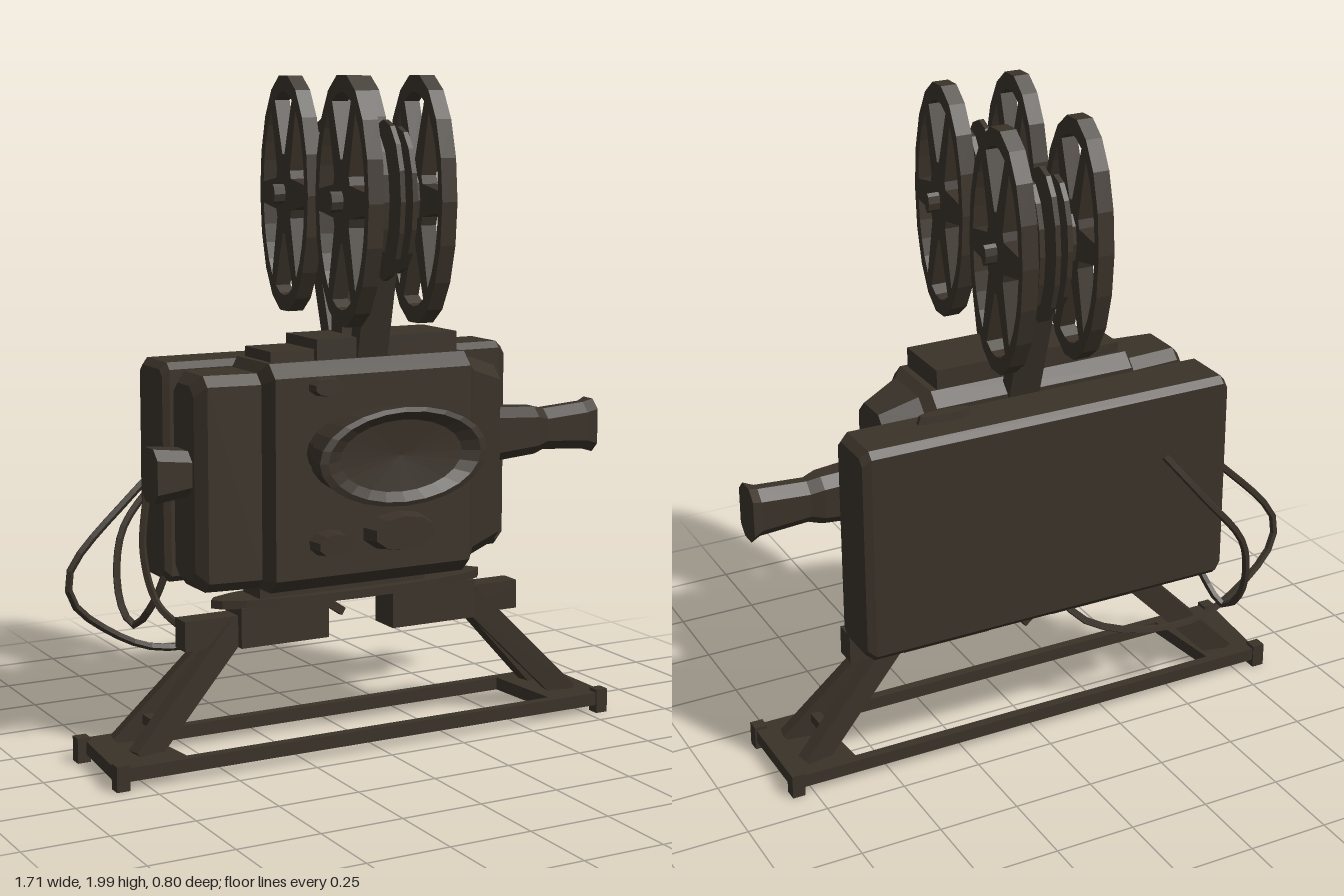
import * as THREE from 'three';

const bronze = new THREE.MeshStandardMaterial({ color: 0x3a3229, flatShading: true });
bronze.name = 'dark bronze';

const V = (p) => new THREE.Vector3(...p);

function add(parent, name, geo, pos = [0, 0, 0], rot = [0, 0, 0], scale = [1, 1, 1]) {
  const m = new THREE.Mesh(geo, bronze);
  m.name = name;
  m.position.set(...pos);
  m.rotation.set(...rot);
  m.scale.set(...scale);
  parent.add(m);
  return m;
}

// Box given by its extents
function block(parent, name, [x0, x1], [y0, y1], [z0, z1]) {
  return add(parent, name, new THREE.BoxGeometry(x1 - x0, y1 - y0, z1 - z0),
    [(x0 + x1) / 2, (y0 + y1) / 2, (z0 + z1) / 2]);
}

// Square bar between two points
function beam(parent, name, a, b, w, h = w) {
  const A = V(a), B = V(b);
  const m = add(parent, name, new THREE.BoxGeometry(w, h, A.distanceTo(B)),
    A.clone().add(B).multiplyScalar(0.5).toArray());
  m.lookAt(B);
  return m;
}

// Chamfered rectangles [x, y0, y1, z0, z1, chamfer] joined along x
function loft(sections) {
  const rings = sections.map(([x, y0, y1, z0, z1, c]) => [
    [y1, z0 + c], [y1, z1 - c], [y1 - c, z1], [y0 + c, z1],
    [y0, z1 - c], [y0, z0 + c], [y0 + c, z0], [y1 - c, z0],
  ].map(([y, z]) => [x, y, z]));
  const pos = [];
  const tri = (...pts) => pts.forEach((p) => pos.push(...p));
  for (let i = 0; i + 1 < rings.length; i++) {
    for (let j = 0; j < 8; j++) {
      const k = (j + 1) % 8, a = rings[i], b = rings[i + 1];
      tri(a[j], a[k], b[k]);
      tri(a[j], b[k], b[j]);
    }
  }
  const first = rings[0], last = rings[rings.length - 1];
  for (let j = 1; j < 7; j++) {
    tri(first[0], first[j + 1], first[j]);
    tri(last[0], last[j], last[j + 1]);
  }
  const g = new THREE.BufferGeometry();
  g.setAttribute('position', new THREE.Float32BufferAttribute(pos, 3));
  g.computeVertexNormals();
  return g;
}

function cable(parent, points) {
  const curve = new THREE.CatmullRomCurve3(points.map(V));
  add(parent, 'cable', new THREE.TubeGeometry(curve, 24, 0.012, 5));
}

// One reel flange: rim, hub and tapered spokes, facing x
function flangeGeometry() {
  const s = new THREE.Shape().absarc(0, 0, 0.36, 0, Math.PI * 2);
  const n = 6;
  for (let i = 0; i < n; i++) {
    const a = (i / n) * Math.PI * 2 + Math.PI / 6, hole = new THREE.Path();
    const at = (r, d) => [r * Math.cos(a + d), r * Math.sin(a + d)];
    hole.moveTo(...at(0.12, -0.12));
    for (const d of [-0.42, -0.2, 0, 0.2, 0.42]) hole.lineTo(...at(0.308, d));
    hole.lineTo(...at(0.12, 0.12));
    s.holes.push(hole);
  }
  const g = new THREE.ExtrudeGeometry(s, { depth: 0.05, bevelEnabled: false, curveSegments: 9 });
  return g.translate(0, 0, -0.025).rotateY(Math.PI / 2);
}

function createReel(x, z) {
  const reel = new THREE.Group();
  reel.name = 'filmReel';
  const flange = flangeGeometry();
  for (const side of [-1, 1]) add(reel, 'reelFlange', flange, [side * 0.118, 0, 0]);
  // Wound film between the flanges
  for (const [dx, r] of [[-0.045, 0.2], [0, 0.23], [0.045, 0.21]]) {
    add(reel, 'filmCoil', new THREE.CylinderGeometry(r, r, 0.016, 16), [dx, 0, 0], [0, 0, Math.PI / 2]);
  }
  add(reel, 'reelCore', new THREE.CylinderGeometry(0.085, 0.085, 0.24, 10), [0, 0, 0], [0, 0, Math.PI / 2]);
  add(reel, 'spindle', new THREE.CylinderGeometry(0.03, 0.03, 0.36, 8), [0, 0, 0], [0, 0, Math.PI / 2]);
  reel.position.set(x, 1.64, z);
  reel.scale.z = 0.445;
  return reel;
}

export function createModel() {
  const root = new THREE.Group();
  root.name = 'filmProjector';

  // Main housing with narrower ends
  add(root, 'housing', loft([
    [-0.56, 0.55, 1.12, -0.05, 0.09, 0.03],
    [-0.53, 0.52, 1.15, -0.07, 0.12, 0.03],
    [-0.37, 0.52, 1.15, -0.08, 0.14, 0.03],
    [-0.35, 0.51, 1.18, -0.1, 0.19, 0.04],
    [0.3, 0.51, 1.18, -0.1, 0.19, 0.04],
    [0.33, 0.54, 1.16, -0.08, 0.16, 0.04],
    [0.45, 0.57, 1.12, -0.06, 0.12, 0.04],
  ]));
  add(root, 'rearKnob', loft([
    [-0.66, 0.78, 0.94, -0.06, 0.06, 0.03],
    [-0.55, 0.8, 0.93, -0.06, 0.08, 0.03],
  ]));

  // Lens snout
  add(root, 'lensMount', loft([
    [0.43, 0.74, 1.02, -0.08, 0.1, 0.04],
    [0.48, 0.81, 0.98, -0.07, 0.06, 0.03],
    [0.64, 0.82, 0.97, -0.06, 0.05, 0.03],
    [0.68, 0.83, 0.96, -0.05, 0.04, 0.03],
    [0.83, 0.82, 0.97, -0.05, 0.04, 0.03],
    [0.86, 0.81, 0.98, -0.06, 0.05, 0.03],
  ]));

  // Flared front dial with a dished face
  const dial = [[0, 0], [0.22, 0], [0.23, 0.07], [0.26, 0.1], [0.275, 0.19], [0.25, 0.195], [0.2, 0.17], [0, 0.16]]
    .map(([r, h]) => new THREE.Vector2(r, h));
  add(root, 'frontDial', new THREE.LatheGeometry(dial, 24), [-0.03, 0.92, 0.185], [Math.PI / 2, 0, 0], [1, 1, 0.52]);
  for (const [x, y, rx, ry, d] of [[-0.18, 0.65, 0.065, 0.04, 0.05], [0.05, 0.665, 0.12, 0.06, 0.05], [-0.19, 1.11, 0.055, 0.03, 0.03]]) {
    add(root, 'frontKnob', new THREE.CylinderGeometry(0.85, 1, d, 10), [x, y, 0.19 + d / 2], [Math.PI / 2, 0, 0], [rx, 1, ry]);
  }

  // Rear cabinet
  add(root, 'rearCabinet', loft([
    [-0.55, 0.52, 1.14, -0.32, -0.155, 0.02],
    [-0.53, 0.5, 1.16, -0.33, -0.145, 0.02],
    [0.61, 0.5, 1.16, -0.33, -0.145, 0.02],
    [0.635, 0.52, 1.14, -0.32, -0.155, 0.02],
  ]));
  block(root, 'cabinetBracket', [-0.3, 0.25], [0.72, 1], [-0.16, -0.09]);
  add(root, 'cabinetKnob', new THREE.CylinderGeometry(0.08, 0.09, 0.025, 10), [0.33, 1.17, -0.21], [0, 0, 0], [1, 1, 0.25]);

  // Top plate, post and reel arms
  block(root, 'topPlate', [-0.19, 0.28], [1.17, 1.24], [-0.06, 0.14]);
  block(root, 'topStep', [-0.33, -0.18], [1.16, 1.21], [-0.05, 0.12]);
  block(root, 'post', [-0.05, 0.06], [1.2, 1.5], [-0.035, 0.03]);
  beam(root, 'frontArm', [-0.01, 1.18, 0.12], [-0.01, 1.64, 0.22], 0.1, 0.05);
  beam(root, 'backArm', [0.02, 1.12, -0.08], [0.02, 1.64, -0.24], 0.1, 0.05);
  root.add(createReel(-0.018, 0.235), createReel(0.038, -0.24));

  // Neck and turntable
  block(root, 'neck', [-0.34, 0.22], [0.46, 0.53], [-0.05, 0.06]);
  add(root, 'turntable', new THREE.CylinderGeometry(0.46, 0.46, 0.025, 20), [-0.01, 0.46, 0], [0, 0, 0], [1, 1, 0.21]);

  // Leg brackets and splayed legs at both ends
  for (const s of [-1, 1]) {
    const xs = (a, b) => [Math.min(s * a, s * b), Math.max(s * a, s * b)];
    block(root, 'legBracket', xs(0.11, 0.4), [0.33, 0.45], [-0.05, 0.06]);
    block(root, 'legClamp', xs(0.38, 0.57), [0.335, 0.425], [-0.035, 0.035]);
    for (const z of [-1, 1]) {
      beam(root, 'leg', [s * 0.73, 0.05, z * 0.075], [s * 0.4, 0.39, z * 0.015], 0.045, 0.075);
    }
    beam(root, 'legBrace', [s * 0.66, 0.13, -0.06], [s * 0.66, 0.13, 0.06], 0.03);
  }

  // Ground frame: slanted end plates joined by rails
  const outline = [[-0.85, 0.18], [0.815, 0.18], [0.815, -0.15], [-0.82, -0.15]];
  const opening = [[-0.62, 0.15], [-0.65, -0.12], [0.6, -0.12], [0.62, 0.15]];
  const toVec = (pts) => pts.map(([x, z]) => new THREE.Vector2(x, -z));
  const frame = new THREE.Shape(toVec(outline));
  frame.holes.push(new THREE.Path(toVec(opening)));
  add(root, 'groundFrame', new THREE.ExtrudeGeometry(frame, { depth: 0.04, bevelEnabled: false }),
    [0, 0.025, 0], [-Math.PI / 2, 0, 0]);
  for (const x of [-0.83, 0.8]) {
    for (const z of [-0.135, 0.165]) block(root, 'foot', [x - 0.02, x + 0.02], [0, 0.075], [z - 0.02, z + 0.02]);
  }

  // Hanging cables
  cable(root, [[-0.33, 0.95, -0.335], [-0.45, 0.8, -0.375], [-0.59, 0.62, -0.385], [-0.62, 0.42, -0.34],
    [-0.6, 0.35, -0.28], [-0.57, 0.42, -0.21], [-0.53, 0.55, -0.17]]);
  cable(root, [[-0.55, 0.86, -0.17], [-0.64, 0.78, -0.17], [-0.84, 0.56, -0.18], [-0.83, 0.47, -0.19], [-0.72, 0.37, -0.21],
    [-0.55, 0.29, -0.22], [-0.3, 0.3, -0.2], [-0.15, 0.36, -0.14], [-0.1, 0.47, -0.06]]);
  cable(root, [[-0.6, 0.8, -0.16], [-0.62, 0.6, -0.15], [-0.59, 0.45, -0.12], [-0.54, 0.38, -0.03]]);
  beam(root, 'cablePlug', [-0.1, 0.44, -0.08], [0.02, 0.36, -0.1], 0.02, 0.025);

  return root;
}
